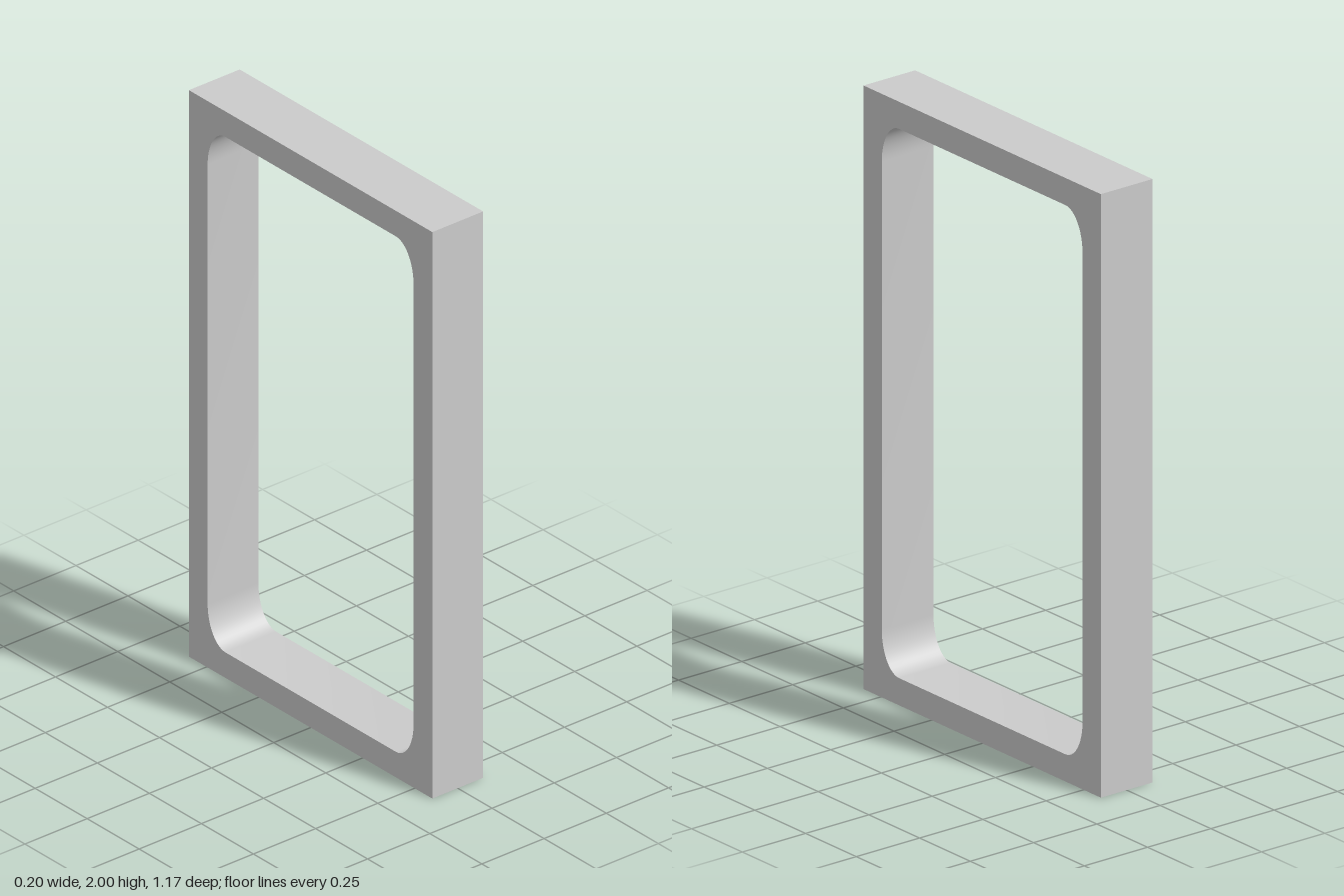
import * as THREE from 'three';
import { toCreasedNormals } from 'three/addons/utils/BufferGeometryUtils.js';

export function createModel() {
  const group = new THREE.Group();
  const height = 2, halfDepth = 0.585, thickness = 0.204;
  const holeZ = 0.495, holeBottom = 0.09, holeTop = 1.91;
  const rx = 0.085, ry = 0.135; // corner radii of the opening

  // Outer rectangle, drawn with depth across and height up
  const outline = new THREE.Shape();
  outline.moveTo(-halfDepth, 0);
  outline.lineTo(halfDepth, 0);
  outline.lineTo(halfDepth, height);
  outline.lineTo(-halfDepth, height);
  outline.closePath();

  // Opening with elliptical corners
  const opening = new THREE.Path();
  const corners = [[1, 1, 0], [-1, 1, 1], [-1, -1, 2], [1, -1, 3]];
  for (const [sx, sy, quarter] of corners) {
    const start = quarter * Math.PI / 2;
    const cy = sy > 0 ? holeTop - ry : holeBottom + ry;
    opening.absellipse(sx * (holeZ - rx), cy, rx, ry, start, start + Math.PI / 2, false, 0);
  }
  opening.closePath();
  outline.holes.push(opening);

  // Extrude the frame and turn it so its opening faces sideways
  let geometry = new THREE.ExtrudeGeometry(outline, {
    depth: thickness, bevelEnabled: false, curveSegments: 6,
  });
  geometry.translate(0, 0, -thickness / 2);
  geometry.rotateY(-Math.PI / 2);
  geometry = toCreasedNormals(geometry, Math.PI / 6);

  const frame = new THREE.Mesh(geometry, new THREE.MeshStandardMaterial({ color: 0xcccccc }));
  frame.name = 'frame';
  group.add(frame);
  return group;
}
